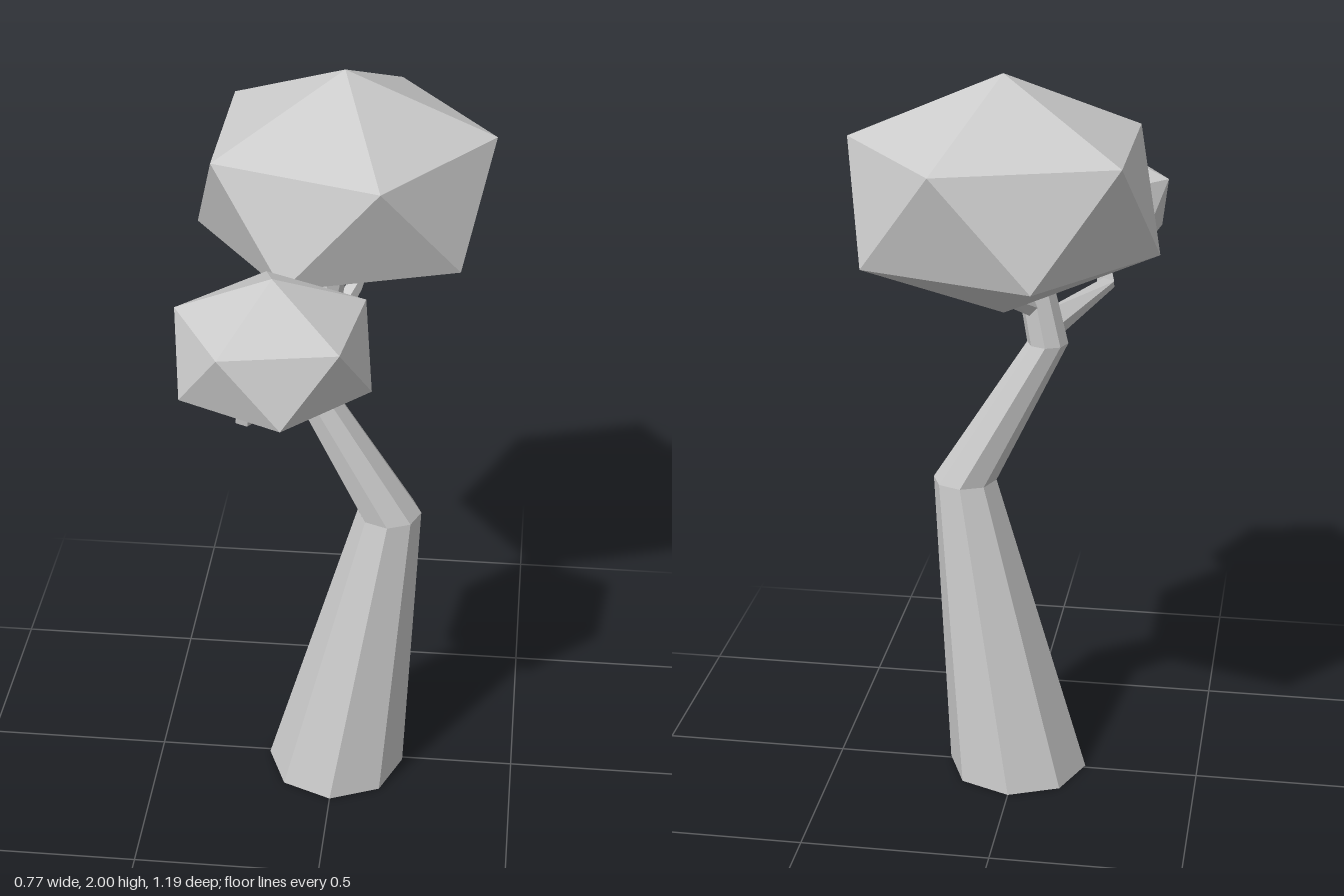
import * as THREE from 'three';

const material = new THREE.MeshStandardMaterial({ color: 0xcccccc, flatShading: true });
const UP = new THREE.Vector3(0, 1, 0);

// Faceted limb through rings [x, y, z, radius]; rings lie flat, or follow the path if bend is true
function limb(name, rings, sides, bend) {
  const centres = rings.map(([x, y, z]) => new THREE.Vector3(x, y, z));
  const positions = [];
  const index = [];
  const last = rings.length - 1;
  centres.forEach((c, r) => {
    const q = new THREE.Quaternion();
    if (bend) {
      const dir = new THREE.Vector3();
      if (r > 0) dir.add(c.clone().sub(centres[r - 1]).normalize());
      if (r < last) dir.add(centres[r + 1].clone().sub(c).normalize());
      q.setFromUnitVectors(UP, dir.normalize());
    }
    for (let i = 0; i < sides; i++) {
      const a = (i / sides) * Math.PI * 2;
      const p = new THREE.Vector3(Math.cos(a), 0, Math.sin(a))
        .multiplyScalar(rings[r][3]).applyQuaternion(q).add(c);
      positions.push(p.x, p.y, p.z);
    }
  });
  for (let i = 0; i < sides; i++) {
    const j = (i + 1) % sides;
    for (let r = 0; r < last; r++) {
      const lo = r * sides, hi = lo + sides;
      index.push(lo + i, hi + i, lo + j, lo + j, hi + i, hi + j);
    }
    // End caps as fans
    if (i > 0 && i < sides - 1) {
      const t = last * sides;
      index.push(0, i, j, t, t + j, t + i);
    }
  }
  const indexed = new THREE.BufferGeometry();
  indexed.setAttribute('position', new THREE.Float32BufferAttribute(positions, 3));
  indexed.setIndex(index);
  const geometry = indexed.toNonIndexed();
  geometry.computeVertexNormals();
  const mesh = new THREE.Mesh(geometry, material);
  mesh.name = name;
  return mesh;
}

// Squashed icosahedron standing on a vertex, turned about y
function crown(name, [x, y, z], ringRadius, halfHeight, turn) {
  const geometry = new THREE.IcosahedronGeometry(1, 0);
  geometry.rotateZ(Math.atan(2 / (1 + Math.sqrt(5))));
  geometry.rotateY(Math.PI + turn);
  const r = ringRadius * Math.sqrt(5) / 2;
  geometry.scale(r, halfHeight, r);
  geometry.computeVertexNormals();
  const mesh = new THREE.Mesh(geometry, material);
  mesh.name = name;
  mesh.position.set(x, y, z);
  return mesh;
}

export function createModel() {
  const tree = new THREE.Group();
  tree.name = 'tree';

  // Crooked tapering trunk
  tree.add(limb('trunk', [
    [0, 0, 0.01, 0.19],
    [0.143, 0.85, 0.01, 0.085],
    [-0.078, 1.245, 0.01, 0.054],
    [-0.005, 1.6, 0.012, 0.04],
  ], 8, false));

  // Branch reaching forward, then turning up into the small crown
  tree.add(limb('frontBranch', [
    [-0.07, 1.285, 0.02, 0.045],
    [-0.195, 1.312, 0.325, 0.026],
    [-0.165, 1.46, 0.365, 0.017],
  ], 5, true));

  // Branch rising backward into the large crown
  tree.add(limb('backBranch', [
    [-0.045, 1.345, 0, 0.03],
    [0.03, 1.43, -0.16, 0.022],
    [0.06, 1.5, -0.25, 0.018],
  ], 5, true));

  // Foliage
  tree.add(crown('largeCrown', [0, 1.7, -0.227], 0.385, 0.3, 0));
  tree.add(crown('smallCrown', [-0.117, 1.5235, 0.357], 0.242, 0.1885, THREE.MathUtils.degToRad(28.5)));

  return tree;
}
